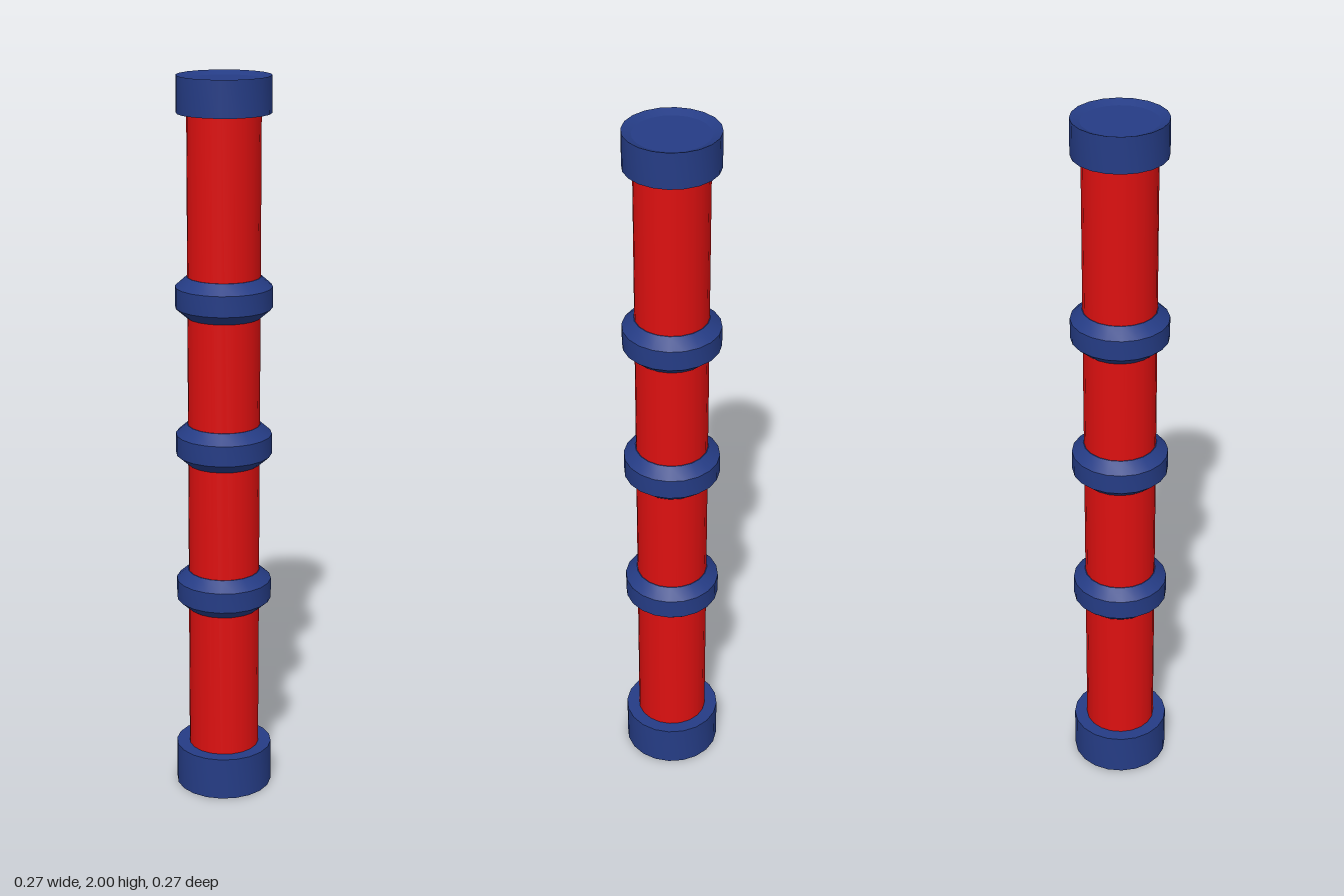
import * as THREE from 'three';
import { toCreasedNormals } from 'three/addons/utils/BufferGeometryUtils.js';

const SIDES = 20;

export function createModel() {
  const model = new THREE.Group();
  model.name = 'bandedPole';

  const red = new THREE.MeshStandardMaterial({ name: 'red', color: 0xdd1010 });
  const blue = new THREE.MeshStandardMaterial({ name: 'navy blue', color: 0x253c85 });

  // Turn a profile of [radius, height] points, listed from bottom to top
  const turned = (name, profile, material, y = 0) => {
    const points = profile.map(([r, h]) => new THREE.Vector2(r, h));
    const geometry = toCreasedNormals(new THREE.LatheGeometry(points, SIDES), 0.35);
    const mesh = new THREE.Mesh(geometry, material);
    mesh.name = name;
    mesh.position.y = y;
    model.add(mesh);
  };

  // Shaft running between the two end caps
  turned('shaft', [[0.098, 0.05], [0.098, 1.95]], red);

  // End caps, each with a shallow dished outer face
  turned('baseCap', [
    [0, 0.01], [0.105, 0.01], [0.134, 0], [0.134, 0.12], [0.09, 0.12],
  ], blue);
  turned('topCap', [
    [0.09, 1.903], [0.125, 1.903], [0.125, 2], [0.1, 1.99], [0, 1.99],
  ], blue);

  // Three bevelled collars around the shaft
  [0.59, 1.01, 1.418].forEach((y, i) => {
    turned(`collar${i + 1}`, [
      [0.095, -0.055], [0.1, -0.055], [0.131, -0.028],
      [0.131, 0.028], [0.1, 0.055], [0.095, 0.055],
    ], blue, y);
  });

  return model;
}
